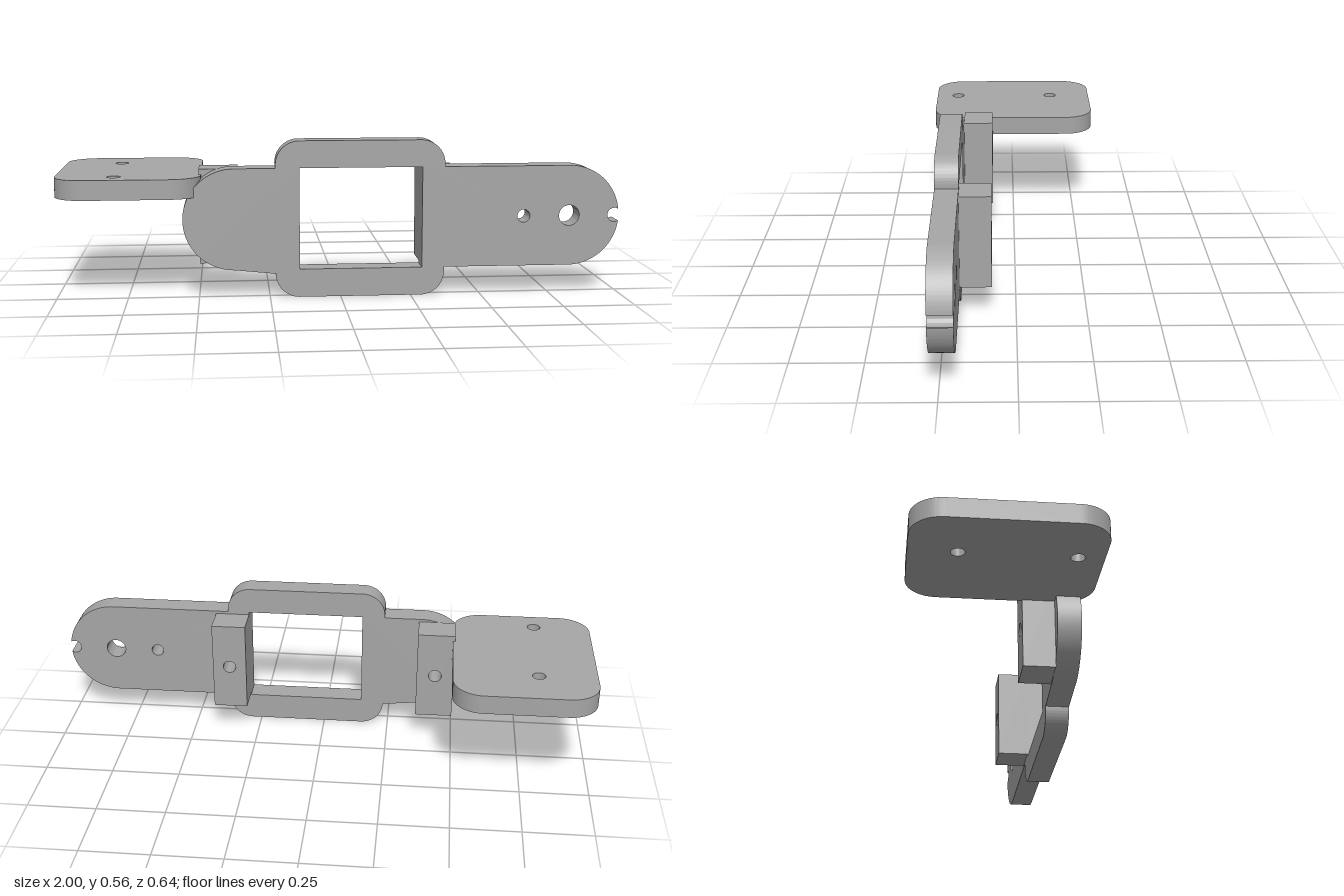
import * as THREE from 'three';
import { toCreasedNormals } from 'three/addons/utils/BufferGeometryUtils.js';

const MID = 0.28; // height of the bracket's centre line

// Circular hole path
function hole(x, y, r) {
  return new THREE.Path().absarc(x, y, r, 0, Math.PI * 2, true);
}

// Rectangle with optional rounded corners
function rect(x0, y0, x1, y1, r = 0) {
  const s = new THREE.Shape();
  if (r === 0) {
    s.moveTo(x0, y0).lineTo(x1, y0).lineTo(x1, y1).lineTo(x0, y1).closePath();
    return s;
  }
  const h = Math.PI / 2;
  s.absarc(x1 - r, y0 + r, r, -h, 0, false);
  s.absarc(x1 - r, y1 - r, r, 0, h, false);
  s.absarc(x0 + r, y1 - r, r, h, 2 * h, false);
  s.absarc(x0 + r, y0 + r, r, 2 * h, 3 * h, false);
  s.closePath();
  return s;
}

// Extrude along z with smooth curves and sharp edges
function slab(shape, depth) {
  const g = new THREE.ExtrudeGeometry(shape, { depth, bevelEnabled: false, curveSegments: 20 });
  return toCreasedNormals(g, 0.6);
}

// Round-ended arm with a wider frame in the middle and a notch at the right tip
function bracketShape() {
  const R = 0.18, xl = -0.375, xr = 0.82, h = Math.PI / 2;
  const fx0 = -0.23, fx1 = 0.37, fy0 = 0, fy1 = 0.556, c = 0.085;
  const nx = 0.985, nr = 0.025, d = nx - xr;
  const ix = (R * R - nr * nr + d * d) / (2 * d);
  const iy = Math.sqrt(R * R - ix * ix);
  const a = Math.atan2(iy, ix);
  const b = Math.atan2(iy, ix - d);

  const s = new THREE.Shape();
  s.moveTo(fx0, MID - R);
  s.absarc(fx0 + c, fy0 + c, c, 2 * h, 3 * h, false);
  s.absarc(fx1 - c, fy0 + c, c, -h, 0, false);
  s.lineTo(fx1, MID - R);
  s.absarc(xr, MID, R, -h, -a, false);
  s.absarc(nx, MID, nr, -b, b - 2 * Math.PI, true);
  s.absarc(xr, MID, R, a, h, false);
  s.lineTo(fx1, MID + R);
  s.absarc(fx1 - c, fy1 - c, c, 0, h, false);
  s.absarc(fx0 + c, fy1 - c, c, h, 2 * h, false);
  s.lineTo(fx0, MID + R);
  s.absarc(xl, MID, R, h, 3 * h, false);
  s.closePath();
  s.holes.push(rect(-0.145, 0.1, 0.29, 0.46), hole(0.655, MID, 0.023), hole(0.82, MID, 0.037));
  return s;
}

export function createModel() {
  const model = new THREE.Group();
  model.name = 'mountingBracket';
  const grey = new THREE.MeshStandardMaterial({ color: 0xa6a6a6 });
  grey.name = 'grey plastic';

  function add(name, geometry) {
    const mesh = new THREE.Mesh(geometry, grey);
    mesh.name = name;
    model.add(mesh);
    return mesh;
  }

  // Upright bracket plate
  add('bracketPlate', slab(bracketShape(), 0.083)).position.z = 0.197;

  // Mounting blocks behind the window, each with a blind screw hole
  for (const [name, x0, x1] of [['rightBlock', -0.498, -0.36], ['leftBlock', 0.29, 0.417]]) {
    const s = rect(x0, 0.11, x1, 0.45);
    s.holes.push(hole((x0 + x1) / 2, MID, 0.024));
    add(name, slab(s, 0.112)).position.z = 0.085;
  }

  // Horizontal rounded plate with two screw holes
  const flat = rect(-1, -0.32, -0.49, 0.32, 0.11);
  flat.holes.push(hole(-0.793, -0.157, 0.024), hole(-0.793, 0.232, 0.024));
  const geometry = slab(flat, 0.07);
  geometry.rotateX(Math.PI / 2); // shape y becomes z, depth goes downward
  add('flatPlate', geometry).position.y = 0.43;

  return model;
}
